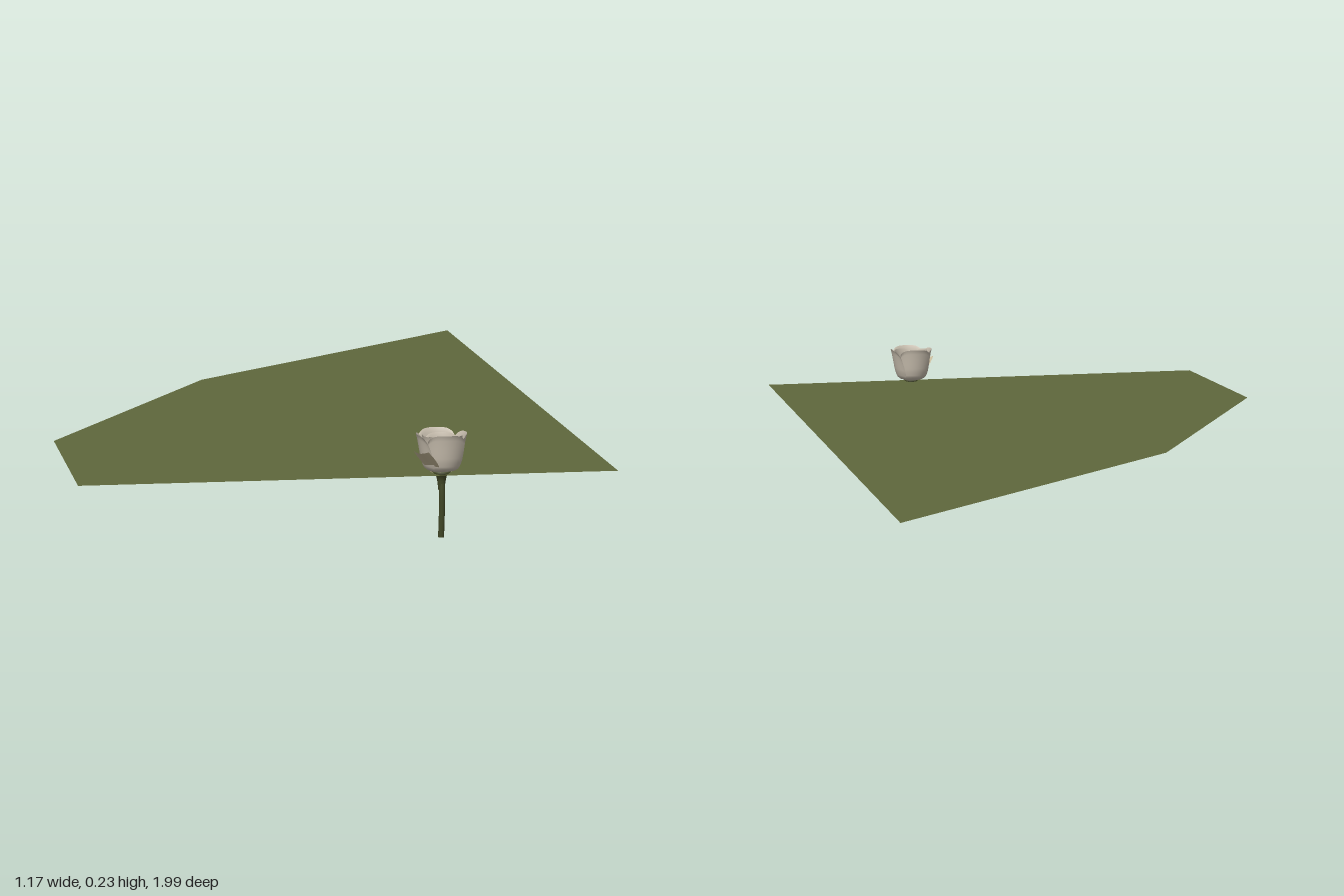
import * as THREE from 'three';
import { ParametricGeometry } from 'three/addons/geometries/ParametricGeometry.js';

const mat = (name, color) => new THREE.MeshStandardMaterial({ name, color, side: THREE.DoubleSide });

export function createModel() {
  const model = new THREE.Group();
  model.name = 'roseAndGround';
  const groundGreen = mat('groundGreen', 0x5f673c);
  const petalCream = mat('petalCream', 0xcbc1b1);
  const petalTan = mat('petalTan', 0xcdbf9e);
  const coreTan = mat('coreTan', 0xb8a582);
  const stemGreen = mat('stemGreen', 0x444a28);

  const add = (parent, name, geometry, material) => {
    const mesh = new THREE.Mesh(geometry, material);
    mesh.name = name;
    parent.add(mesh);
    return mesh;
  };

  // Flat ground sheet, level with the base of the flower head
  const outline = [[0.585, -1], [-0.167, -0.307], [-0.585, 0.447], [-0.568, 0.948], [0.585, 0.948]];
  const shape = new THREE.Shape(outline.map(([x, z]) => new THREE.Vector2(x, -z)));
  const ground = add(model, 'ground', new THREE.ShapeGeometry(shape).rotateX(-Math.PI / 2), groundGreen);
  ground.position.y = 0.14;

  const rose = new THREE.Group();
  rose.name = 'rose';
  rose.position.set(0.206, 0, 0.922);
  model.add(rose);

  // Slightly bent stem, swelling into the cup under the petals
  const path = new THREE.CatmullRomCurve3([
    new THREE.Vector3(0.002, 0.002, -0.005),
    new THREE.Vector3(0.002, 0.05, 0.001),
    new THREE.Vector3(0.001, 0.1, 0.006),
    new THREE.Vector3(0, 0.14, 0.005),
  ]);
  add(rose, 'stem', new THREE.TubeGeometry(path, 16, 0.0065, 10), stemGreen);
  add(rose, 'stemEnd', new THREE.CylinderGeometry(0.0065, 0.0065, 0.003, 10), stemGreen)
    .position.set(0.002, 0.0015, -0.005);
  const hip = [[0.0065, 0.105], [0.009, 0.125], [0.012, 0.138], [0.024, 0.147], [0, 0.152]];
  add(rose, 'hip', new THREE.LatheGeometry(hip.map(([r, y]) => new THREE.Vector2(r, y)), 14), stemGreen)
    .position.z = 0.004;

  // Cupped petal: a rounded patch of a bowl whose rim dips at both sides
  const bowl = new THREE.SplineCurve([
    [0.012, 0], [0.036, 0.1], [0.045, 0.3], [0.05, 0.62], [0.054, 1],
  ].map(([r, y]) => new THREE.Vector2(r, y)));
  const petal = (name, angle, size, half, top, flare, material) => {
    const geometry = new ParametricGeometry((u, v, p) => {
      const s = u * 2 - 1;
      const b = bowl.getPoint(v);
      const a = s * half * (0.8 + 0.2 * Math.sin(v * Math.PI));
      const r = b.x * size + flare * v ** 5 + 0.003 * s * v;
      const y = 0.143 + (top - 0.143) * b.y * (1 - 0.16 * s ** 4);
      p.set(r * Math.sin(a), y, r * Math.cos(a));
    }, 14, 10);
    add(rose, name, geometry, material).rotation.y = angle;
  };
  const rings = [
    { name: 'outerPetal', count: 4, size: 0.95, half: 1.0, top: 0.23, flare: 0.004, turn: 0.05, material: petalCream },
    { name: 'middlePetal', count: 3, size: 0.76, half: 1.2, top: 0.224, flare: 0.002, turn: 0.8, material: petalCream },
    { name: 'innerPetal', count: 3, size: 0.52, half: 1.25, top: 0.216, flare: 0, turn: 0.2, material: petalCream },
    { name: 'corePetal', count: 2, size: 0.28, half: 1.7, top: 0.208, flare: 0, turn: 1.1, material: coreTan },
  ];
  for (const k of rings) {
    for (let i = 0; i < k.count; i++) {
      const angle = k.turn + (i / k.count) * Math.PI * 2;
      petal(k.name + (i + 1), angle, k.size, k.half, k.top - 0.003 * (i % 2), k.flare, k.material);
    }
  }

  // One loose petal folded outwards to the front
  const loose = new ParametricGeometry((u, v, p) => {
    const s = u * 2 - 1;
    const w = 0.013 + 0.008 * Math.sin(v * 2.4);
    p.set(s * w, 0.144 + 0.052 * v ** 0.9 + 0.004 * s * s * v, 0.02 + 0.065 * v - 0.005 * v * s * s);
  }, 10, 10);
  add(rose, 'loosePetal', loose, petalTan).rotation.y = -0.75;

  return model;
}
